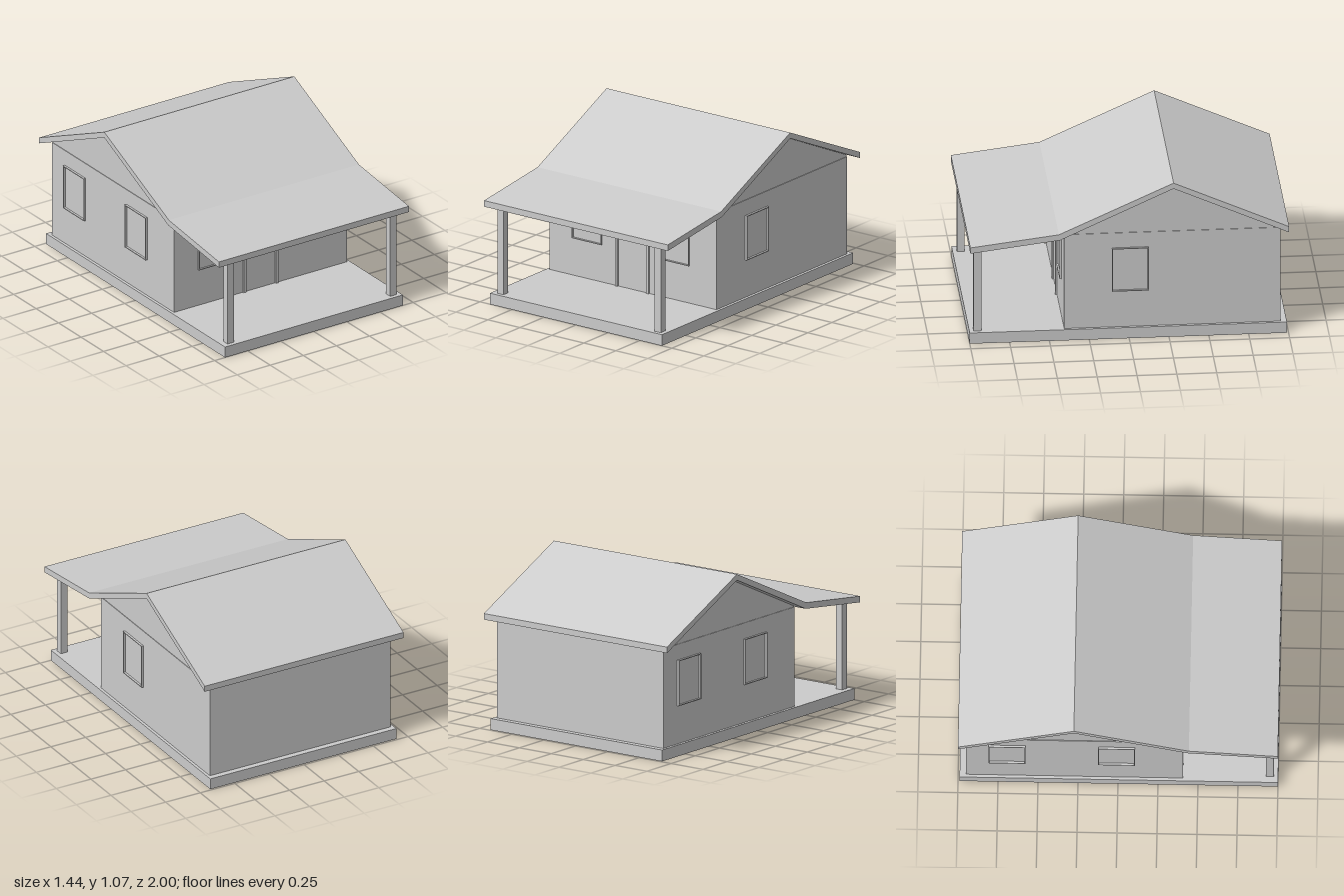
import * as THREE from 'three';

const material = new THREE.MeshStandardMaterial({ color: 0xcccccc, flatShading: true });
const openMaterial = new THREE.MeshStandardMaterial({ color: 0xcccccc, flatShading: true, side: THREE.DoubleSide });

const FLOOR = 0.073, WALL_TOP = 0.714;
const WALL_X = 0.653, WALL_FRONT = 0.406, WALL_BACK = -0.952;

// Box given by its minimum and maximum corners
function box(name, [x0, y0, z0], [x1, y1, z1]) {
  const geometry = new THREE.BoxGeometry(x1 - x0, y1 - y0, z1 - z0);
  geometry.translate((x0 + x1) / 2, (y0 + y1) / 2, (z0 + z1) / 2);
  const mesh = new THREE.Mesh(geometry, material);
  mesh.name = name;
  return mesh;
}

// Profile of [z, y] points extruded along x, centred on x = 0
function profileAlongX(name, points, width) {
  const shape = new THREE.Shape(points.map(([z, y]) => new THREE.Vector2(-z, y)));
  const geometry = new THREE.ExtrudeGeometry(shape, { depth: width, bevelEnabled: false });
  geometry.translate(0, 0, -width / 2).rotateY(Math.PI / 2);
  const mesh = new THREE.Mesh(geometry, material);
  mesh.name = name;
  return mesh;
}

// Rectangular rim around an opening, lying on the xy plane and facing +z
function rim(name, width, height, border, depth, openBottom = false) {
  const w = width / 2, h = height, b = border, y = openBottom ? 0 : b;
  const rect = (x, y0, y1) => [[-x, y0], [x, y0], [x, y1], [-x, y1]].map(p => new THREE.Vector2(...p));
  let shape;
  if (openBottom) {
    shape = new THREE.Shape([[-w, 0], [-w + b, 0], [-w + b, h - b], [w - b, h - b], [w - b, 0], [w, 0], [w, h], [-w, h]]
      .map(p => new THREE.Vector2(...p)));
  } else {
    shape = new THREE.Shape(rect(w, 0, h));
    shape.holes.push(new THREE.Path(rect(w - b, y, h - b)));
  }
  const mesh = new THREE.Mesh(new THREE.ExtrudeGeometry(shape, { depth, bevelEnabled: false }), material);
  mesh.name = name;
  return mesh;
}

export function createModel() {
  const house = new THREE.Group();
  house.name = 'cabin';

  // Foundation slab: a shell that is open underneath
  const base = box('foundation', [-0.672, 0, -0.99], [0.672, FLOOR, 1]);
  const index = Array.from(base.geometry.index.array);
  index.splice(18, 6); // drop the bottom face
  base.geometry.setIndex(index);
  base.geometry.clearGroups();
  base.material = openMaterial;
  house.add(base);

  // Walls and gables
  house.add(box('walls', [-WALL_X, FLOOR, WALL_BACK], [WALL_X, WALL_TOP, WALL_FRONT]));
  house.add(profileAlongX('gables', [
    [WALL_FRONT, WALL_TOP], [WALL_FRONT, 0.724], [-0.275, 1.032], [WALL_BACK, 0.726], [WALL_BACK, WALL_TOP],
  ], 2 * WALL_X - 0.008));

  // Roof: one folded slab covering the house and the porch
  house.add(profileAlongX('roof', [
    [1, 0.675], [0.444, 0.744], [-0.275, 1.07], [-1, 0.745],
    [-1, 0.706], [-0.275, 1.032], [0.436, 0.706], [1, 0.635],
  ], 1.436));

  // Porch posts
  for (const x of [-0.61, 0.619]) {
    house.add(box('porchPost', [x - 0.024, FLOOR, 0.925], [x + 0.024, 0.645, 0.973]));
  }

  // Door frame
  const door = rim('doorFrame', 0.264, 0.61 - FLOOR, 0.019, 0.011, true);
  door.position.set(-0.002, FLOOR, WALL_FRONT);
  house.add(door);

  // Window frames: two at the front, one on the +x side, two on the -x side
  const windows = [
    [-0.356, WALL_FRONT, 0], [0.327, WALL_FRONT, 0],
    [WALL_X, -0.008, Math.PI / 2],
    [-WALL_X, -0.008, -Math.PI / 2], [-WALL_X, -0.693, -Math.PI / 2],
  ];
  for (const [x, z, turn] of windows) {
    const frame = rim('windowFrame', 0.231, 0.294, 0.006, turn ? 0.014 : 0.011);
    frame.position.set(x, 0.319, z);
    frame.rotation.y = turn;
    house.add(frame);
  }

  return house;
}
